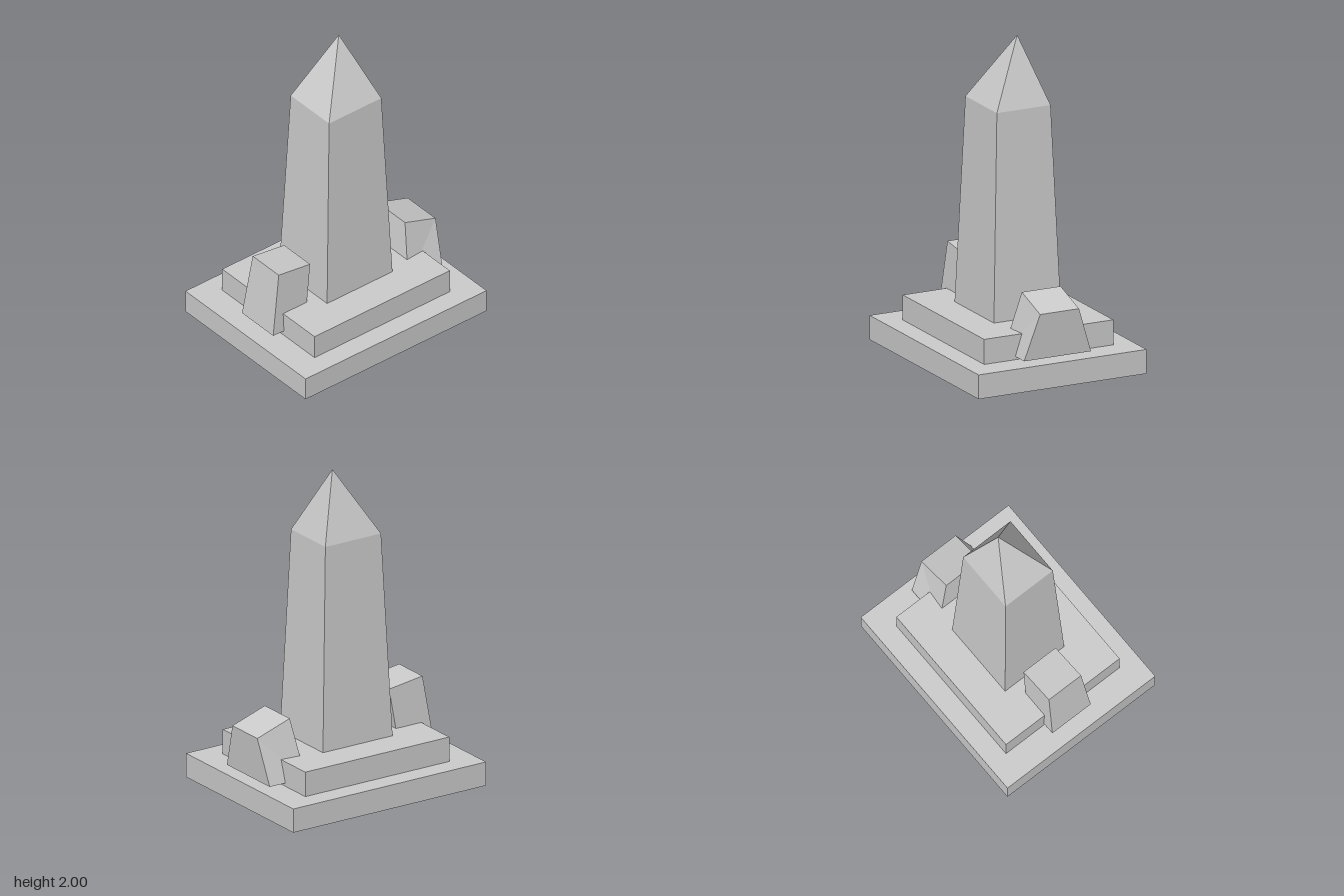
import * as THREE from 'three';

const material = new THREE.MeshStandardMaterial({ color: 0xcccccc, flatShading: true });

function addMesh(group, name, geometry) {
  const mesh = new THREE.Mesh(geometry, material);
  mesh.name = name;
  group.add(mesh);
  return mesh;
}

// Four corners, counter-clockwise from above; the height may slope from the -x to the +x edge
function ring(x0, x1, y0, y1, z) {
  return [[x0, y0, z], [x1, y1, z], [x1, y1, -z], [x0, y0, -z]];
}

// Flat-shaded solid between a four-sided bottom ring and a top ring (or a single apex)
function loft(bottom, top) {
  const pos = [];
  const tri = (...corners) => corners.forEach((c) => pos.push(...c));
  tri(bottom[0], bottom[2], bottom[1]);
  tri(bottom[0], bottom[3], bottom[2]);
  for (let i = 0; i < 4; i++) {
    const j = (i + 1) % 4;
    const [bi, bj] = [bottom[i], bottom[j]];
    if (top.length === 1) {
      tri(bi, bj, top[0]);
      continue;
    }
    const [ti, tj] = [top[i], top[j]];
    // Mirror the crease between the front and back faces
    if (i < 2) {
      tri(bi, bj, tj);
      tri(bi, tj, ti);
    } else {
      tri(bi, bj, ti);
      tri(bj, tj, ti);
    }
  }
  if (top.length === 4) {
    tri(top[0], top[1], top[2]);
    tri(top[0], top[2], top[3]);
  }
  const geometry = new THREE.BufferGeometry();
  geometry.setAttribute('position', new THREE.Float32BufferAttribute(pos, 3));
  geometry.computeVertexNormals();
  return geometry;
}

export function createModel() {
  const group = new THREE.Group();
  group.name = 'obelisk';

  // Stepped base
  addMesh(group, 'lowerStep', new THREE.BoxGeometry(1.385, 0.15, 1.125)).position.y = 0.075;
  addMesh(group, 'upperStep', new THREE.BoxGeometry(1.035, 0.155, 0.865)).position.y = 0.2275;

  // Tapered shaft with an off-centre point
  const shaftTop = ring(-0.2, 0.2, 1.585, 1.585, 0.18);
  addMesh(group, 'shaft', loft(ring(-0.252, 0.248, 0.305, 0.305, 0.225), shaftTop));
  addMesh(group, 'cap', loft(shaftTop, [[0.05, 2, -0.035]]));

  // Leaning stones set against the upper step
  addMesh(group, 'rightStone', loft(
    ring(-0.6, -0.355, 0.185, 0.175, 0.146), ring(-0.538, -0.298, 0.59, 0.558, 0.122)));
  addMesh(group, 'leftStone', loft(
    ring(0.37, 0.63, 0.17, 0.17, 0.224), ring(0.422, 0.655, 0.53, 0.453, 0.13)));

  return group;
}
